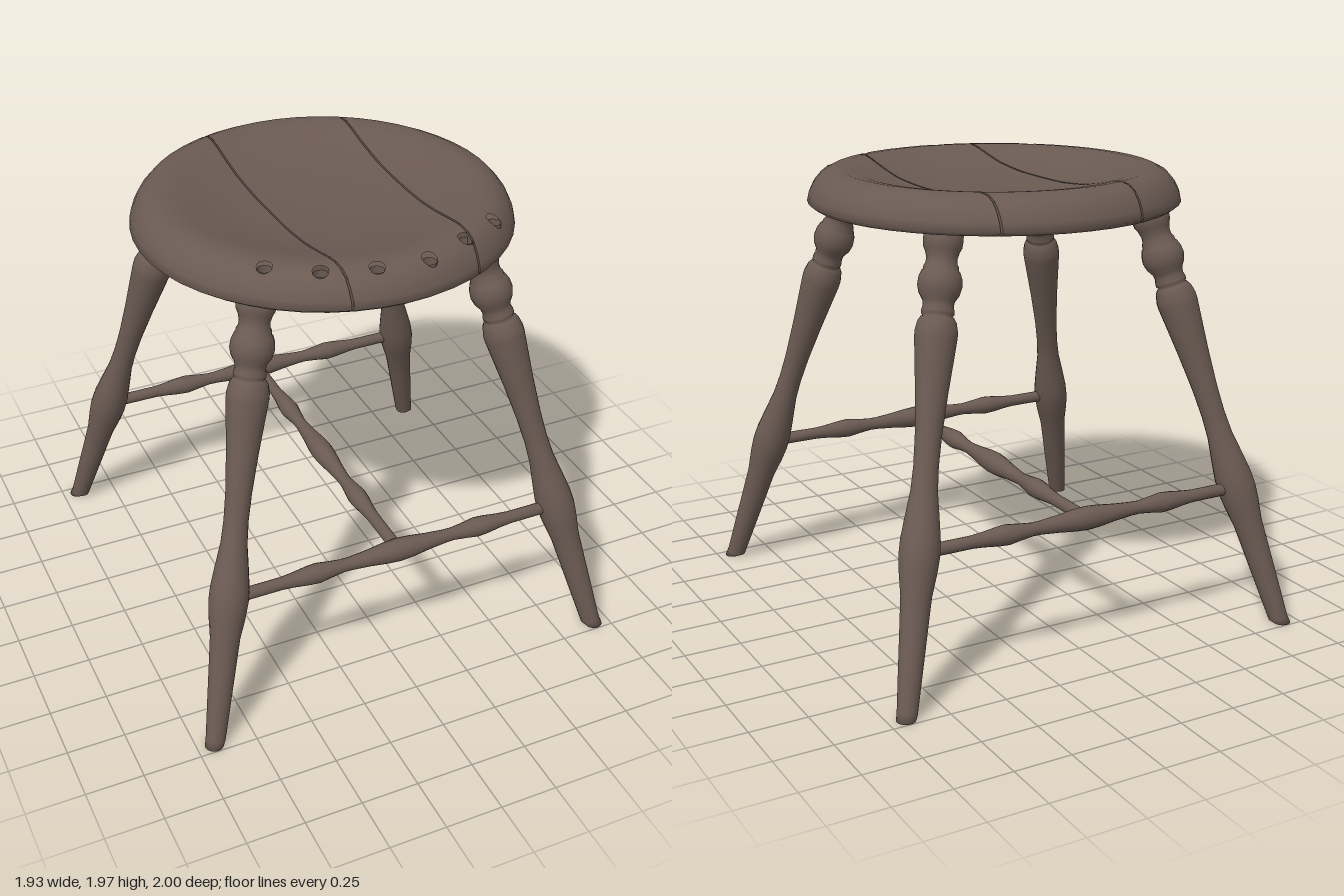
import * as THREE from 'three';

const wood = new THREE.MeshStandardMaterial({ color: 0x6a5a52, side: THREE.DoubleSide });
wood.name = 'brown wood';

// Seat section as [radius, height], from the centre outwards
const UNDER = [[0, 1.79], [0.3, 1.79], [0.58, 1.79], [0.66, 1.8], [0.785, 1.818], [0.808, 1.835]];
const UPPER = [[0, 1.895], [0.15, 1.896], [0.3, 1.902], [0.42, 1.917], [0.52, 1.94], [0.6, 1.96], [0.66, 1.97],
  [0.71, 1.965], [0.75, 1.945], [0.78, 1.91], [0.8, 1.87], [0.808, 1.835]];
const RIM = 0.808;
const GAP = 0.004;

// Joints between planks: x = a + b * z
const JOINTS = [{ a: -0.24, b: 0.026 }, { a: 0.36, b: -0.007 }];
const HOLES = [[-0.48, 0.53], [-0.3, 0.65], [-0.09, 0.71], [0.13, 0.72], [0.33, 0.64], [0.52, 0.53]];
const HOLE_R = 0.031;
const HOLE_SIDES = 12;

function mesh(name, geometry) {
  const m = new THREE.Mesh(geometry, wood);
  m.name = name;
  return m;
}

function lathe(points, sides) {
  return new THREE.LatheGeometry(points.map(([r, y]) => new THREE.Vector2(r, y)), sides);
}

function heightAt(profile, r) {
  for (let i = 1; i < profile.length; i++) {
    const [r0, y0] = profile[i - 1], [r1, y1] = profile[i];
    if (r <= r1) return y0 + (y1 - y0) * (r - r0) / (r1 - r0);
  }
  return profile[profile.length - 1][1];
}

// Keeps the part of a polygon where f >= 0; a vertex is [x, y, z, nx, ny, nz]
function clip(poly, f) {
  const out = [];
  poly.forEach((p, i) => {
    const q = poly[(i + 1) % poly.length];
    const fp = f(p), fq = f(q);
    if (fp >= 0) out.push(p);
    if ((fp >= 0) !== (fq >= 0)) {
      const t = fp / (fp - fq);
      out.push(p.map((v, k) => v + (q[k] - v) * t));
    }
  });
  return out;
}

// Cuts a round hole out of a list of polygons, one side of the hole at a time
function drill(polys, [cx, cz]) {
  const sides = [];
  for (let i = 0; i < HOLE_SIDES; i++) {
    const a = (i + 0.5) / HOLE_SIDES * Math.PI * 2;
    sides.push(v => (v[0] - cx) * Math.cos(a) + (v[2] - cz) * Math.sin(a) - HOLE_R);
  }
  return polys.flatMap(poly => {
    if (sides.some(f => poly.every(v => f(v) >= 0))) return [poly];
    const kept = [];
    let rest = poly;
    for (const f of sides) {
      const outside = clip(rest, f);
      if (outside.length > 2) kept.push(outside);
      rest = clip(rest, v => -f(v));
      if (rest.length < 3) break;
    }
    return kept;
  });
}

function polysToGeometry(polys) {
  const pos = [], nor = [];
  for (const poly of polys) {
    for (let i = 2; i < poly.length; i++) {
      for (const v of [poly[0], poly[i - 1], poly[i]]) {
        pos.push(v[0], v[1], v[2]);
        nor.push(v[3], v[4], v[5]);
      }
    }
  }
  const g = new THREE.BufferGeometry();
  g.setAttribute('position', new THREE.Float32BufferAttribute(pos, 3));
  g.setAttribute('normal', new THREE.Float32BufferAttribute(nor, 3));
  return g;
}

// Sawn edge of a plank along a joint; dir is the side its outside faces
function jointWall({ a, b }, dir) {
  const polys = [], steps = 32;
  const at = (i, profile) => {
    const z = -Math.cos(i / steps * Math.PI) * Math.sqrt(RIM * RIM - a * a) * 0.995;
    const x = a + b * z - dir * GAP;
    return [x, heightAt(profile, Math.hypot(x, z)), z, dir, 0, 0];
  };
  for (let i = 0; i < steps; i++) {
    const quad = [at(i, UNDER), at(i, UPPER), at(i + 1, UPPER), at(i + 1, UNDER)];
    polys.push(dir > 0 ? quad : quad.reverse());
  }
  return polys;
}

// Dished round seat of three planks, with a row of drilled holes along the front
function makeSeat() {
  const seat = new THREE.Group();
  seat.name = 'seat';
  const g = lathe([...UNDER, ...UPPER.slice(0, -1).reverse()], 48).toNonIndexed();
  const p = g.attributes.position, n = g.attributes.normal;
  const vertex = i => [p.getX(i), p.getY(i), p.getZ(i), n.getX(i), n.getY(i), n.getZ(i)];
  let polys = [];
  for (let i = 0; i < p.count; i += 3) polys.push([vertex(i), vertex(i + 1), vertex(i + 2)]);
  for (const hole of HOLES) polys = drill(polys, hole);

  ['rightPlank', 'middlePlank', 'leftPlank'].forEach((name, k) => {
    const low = JOINTS[k - 1], high = JOINTS[k];
    let part = polys;
    if (low) part = part.map(q => clip(q, v => v[0] - low.a - low.b * v[2] - GAP));
    if (high) part = part.map(q => clip(q, v => high.a + high.b * v[2] - v[0] - GAP));
    part = part.filter(q => q.length > 2);
    if (low) part = part.concat(jointWall(low, -1));
    if (high) part = part.concat(jointWall(high, 1));
    seat.add(mesh(name, polysToGeometry(part)));
  });

  // Walls of the holes
  for (const [x, z] of HOLES) {
    const r = Math.hypot(x, z);
    const y0 = heightAt(UNDER, r), y1 = heightAt(UPPER, r) - 0.012;
    const wall = mesh('holeWall', new THREE.CylinderGeometry(HOLE_R, HOLE_R, y1 - y0, HOLE_SIDES, 1, true));
    wall.position.set(x, (y0 + y1) / 2, z);
    seat.add(wall);
  }
  return seat;
}

// Turned leg, splayed outwards and cut level at the floor
const LEG = [[0, -0.03], [0.04, -0.03], [0.042, 0.02], [0.05, 0.18], [0.058, 0.35], [0.063, 0.45], [0.077, 0.54],
  [0.083, 0.6], [0.081, 0.66], [0.07, 0.74], [0.055, 0.84], [0.051, 0.93], [0.054, 1.04], [0.066, 1.2],
  [0.08, 1.34], [0.087, 1.41], [0.087, 1.435], [0.079, 1.47], [0.068, 1.487], [0.06, 1.492], [0.067, 1.5],
  [0.067, 1.512], [0.062, 1.53], [0.066, 1.55], [0.083, 1.575], [0.091, 1.605], [0.088, 1.635], [0.078, 1.66],
  [0.072, 1.664], [0.072, 1.676], [0.064, 1.69], [0.063, 1.71], [0.07, 1.735], [0.079, 1.752], [0.081, 1.77],
  [0.081, 1.83], [0, 1.83]];

function makeLeg(name, sx, sz) {
  const axis = new THREE.Vector3(-0.239 * sx, 1, -0.268 * sz);
  const g = lathe(LEG.map(([r, y]) => [r, y * axis.length()]), 20);
  g.applyQuaternion(new THREE.Quaternion().setFromUnitVectors(new THREE.Vector3(0, 1, 0), axis.clone().normalize()));
  g.translate(0.92 * sx, 0, 0.952 * sz);
  const p = g.attributes.position;
  for (let i = 0; i < p.count; i++) p.setY(i, Math.max(0, p.getY(i)));
  return mesh(name, g);
}

// Turned stretcher, mirrored about its middle
const HALF_BAR = [[0.05, 0], [0.046, 0.06], [0.036, 0.14], [0.029, 0.22], [0.028, 0.26], [0.035, 0.32],
  [0.043, 0.375], [0.04, 0.42], [0.031, 0.49], [0.027, 0.54], [0.027, 0.77], [0, 0.77]];

function makeStretcher(name) {
  const lower = HALF_BAR.slice(1).reverse().map(([r, y]) => [r, -y]);
  const bar = mesh(name, lathe([...lower, ...HALF_BAR], 16));
  bar.position.y = 0.61;
  return bar;
}

export function createModel() {
  const model = new THREE.Group();
  model.name = 'stool';
  model.add(makeSeat());
  for (const [zName, sz] of [['front', 1], ['back', -1]]) {
    model.add(makeLeg(zName + 'LeftLeg', 1, sz), makeLeg(zName + 'RightLeg', -1, sz));
    const bar = makeStretcher(zName + 'Stretcher');
    bar.rotation.z = Math.PI / 2;
    bar.position.z = 0.788 * sz;
    model.add(bar);
  }
  const cross = makeStretcher('crossStretcher');
  cross.rotation.x = Math.PI / 2;
  model.add(cross);
  return model;
}
